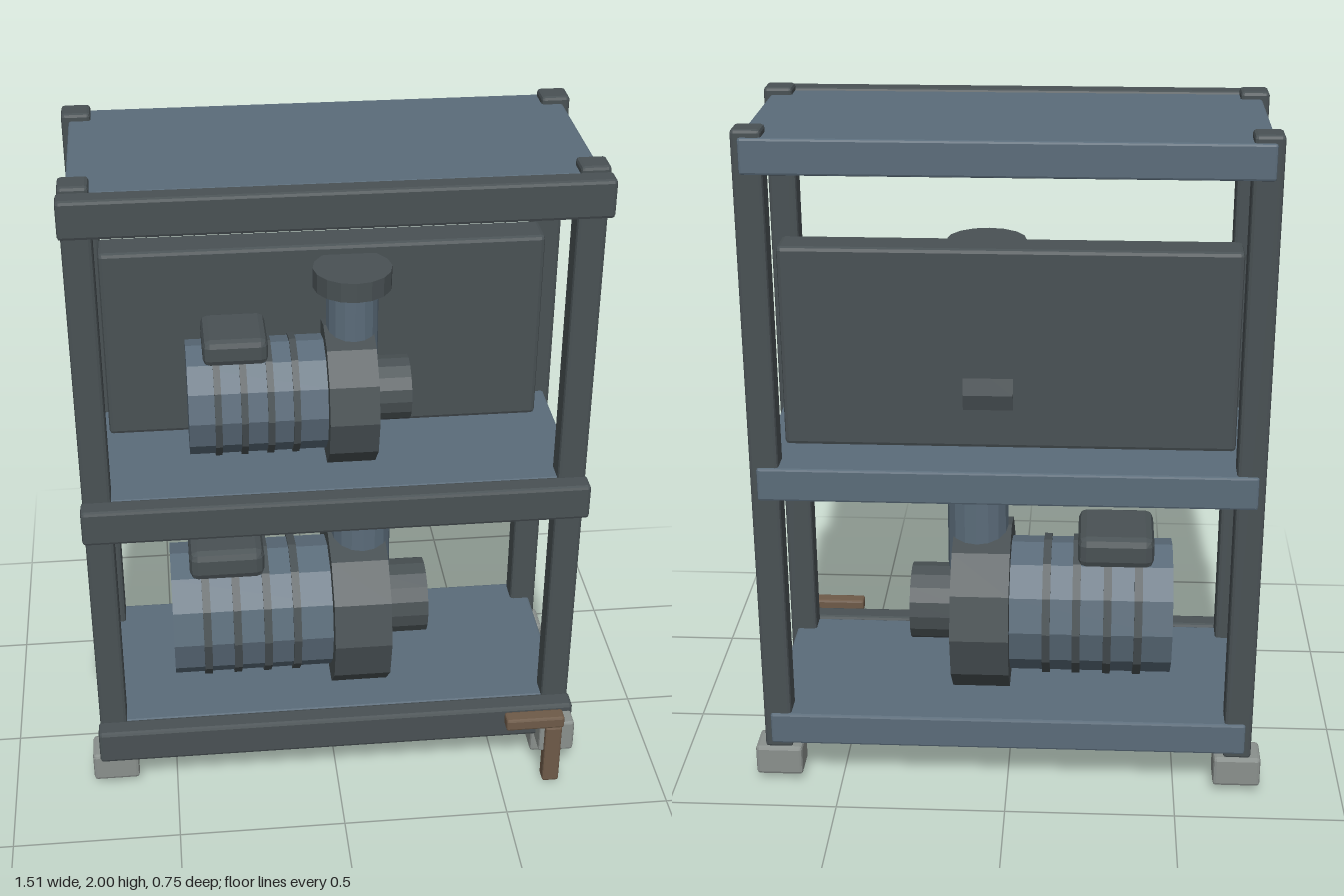
import * as THREE from 'three';
import { RoundedBoxGeometry } from 'three/addons/geometries/RoundedBoxGeometry.js';

function material(name, color) {
  const m = new THREE.MeshStandardMaterial({ color });
  m.name = name;
  return m;
}

export function createModel() {
  const steel = material('dark steel', 0x495154);
  const blue = material('slate blue', 0x5b6c7a);
  const grey = material('light grey', 0x8a908d);
  const brown = material('brown', 0x6e5a48);

  const model = new THREE.Group();
  model.name = 'pumpRack';

  function add(parent, name, geometry, mat, x, y, z) {
    const flat = geometry.index ? geometry.toNonIndexed() : geometry;
    flat.computeVertexNormals(); // faceted look
    const mesh = new THREE.Mesh(flat, mat);
    mesh.name = name;
    mesh.position.set(x, y, z);
    parent.add(mesh);
    return mesh;
  }

  // Chamfered box given by its extents on each axis
  function box(parent, name, mat, [x0, x1], [y0, y1], [z0, z1], chamfer = 0.007) {
    const g = new RoundedBoxGeometry(x1 - x0, y1 - y0, z1 - z0, 1, chamfer);
    return add(parent, name, g, mat, (x0 + x1) / 2, (y0 + y1) / 2, (z0 + z1) / 2);
  }

  // Cylinder along x between two ends
  function drum(parent, name, mat, x0, x1, radius, sides) {
    const g = new THREE.CylinderGeometry(radius, radius, x1 - x0, sides).rotateZ(-Math.PI / 2);
    return add(parent, name, g, mat, (x0 + x1) / 2, 0, 0);
  }

  // Upright cylinder between two heights
  function riser(parent, name, mat, x, y0, y1, radius, sides) {
    const g = new THREE.CylinderGeometry(radius, radius, y1 - y0, sides);
    return add(parent, name, g, mat, x, (y0 + y1) / 2, 0);
  }

  // Posts and feet
  for (const s of [-1, 1]) {
    const span = (a, b) => (s > 0 ? [a, b] : [-b, -a]);
    for (const [post, foot] of [[[0.16, 0.242], [0.152, 0.257]], [[-0.365, -0.282], [-0.375, -0.27]]]) {
      box(model, 'post', steel, span(0.645, 0.727), [0.115, 2], post, 0.01);
      box(model, 'foot', grey, span(0.617, 0.757), [0.025, 0.12], foot, 0.01);
    }
  }

  // Shelves with front rails
  for (const y of [0.13, 0.93, 1.875]) {
    box(model, 'shelf', blue, [-0.707, 0.707], [y + 0.004, y + 0.104], [-0.372, 0.232]);
    box(model, 'frontRail', steel, [-0.732, 0.732], [y, y + 0.11], [0.234, 0.3], 0.01);
  }

  // Upright panel on the middle shelf
  box(model, 'backPanel', steel, [-0.648, 0.645], [1.05, 1.642], [-0.232, -0.115], 0.012);

  // Drain valve at the lower front corner
  const valve = new THREE.Group();
  valve.name = 'drainValve';
  model.add(valve);
  box(valve, 'valveBody', grey, [0.62, 0.727], [0.11, 0.217], [0.24, 0.357]);
  box(valve, 'valveHandle', brown, [0.512, 0.692], [0.21, 0.25], [0.325, 0.372]);
  box(valve, 'valveSpout', brown, [0.635, 0.687], [0, 0.212], [0.325, 0.372]);

  // Pump set, built around the motor axis
  function pump(name, x, y, z, scale) {
    const g = new THREE.Group();
    g.name = name;
    drum(g, 'motor', blue, -0.488, 0.01, 0.205, 12);
    for (const rx of [-0.385, -0.293, -0.2, -0.11]) {
      drum(g, 'motorRib', steel, rx - 0.012, rx + 0.012, 0.214, 12);
    }
    box(g, 'terminalBox', steel, [-0.43, -0.202], [0.175, 0.273], [-0.12, 0.12], 0.025);
    drum(g, 'pumpCasing', steel, 0, 0.174, 0.262, 12);
    drum(g, 'inlet', steel, 0.17, 0.306, 0.117, 16);
    riser(g, 'outletPipe', blue, 0.102, 0.13, 0.42, 0.092, 16);
    riser(g, 'outletFlange', steel, 0.102, 0.412, 0.484, 0.139, 16);
    g.position.set(x, y, z);
    g.scale.setScalar(scale);
    model.add(g);
  }
  pump('lowerPump', 0, 0.455, -0.038, 1);
  pump('upperPump', -0.012, 1.216, -0.03, 0.82);

  return model;
}
